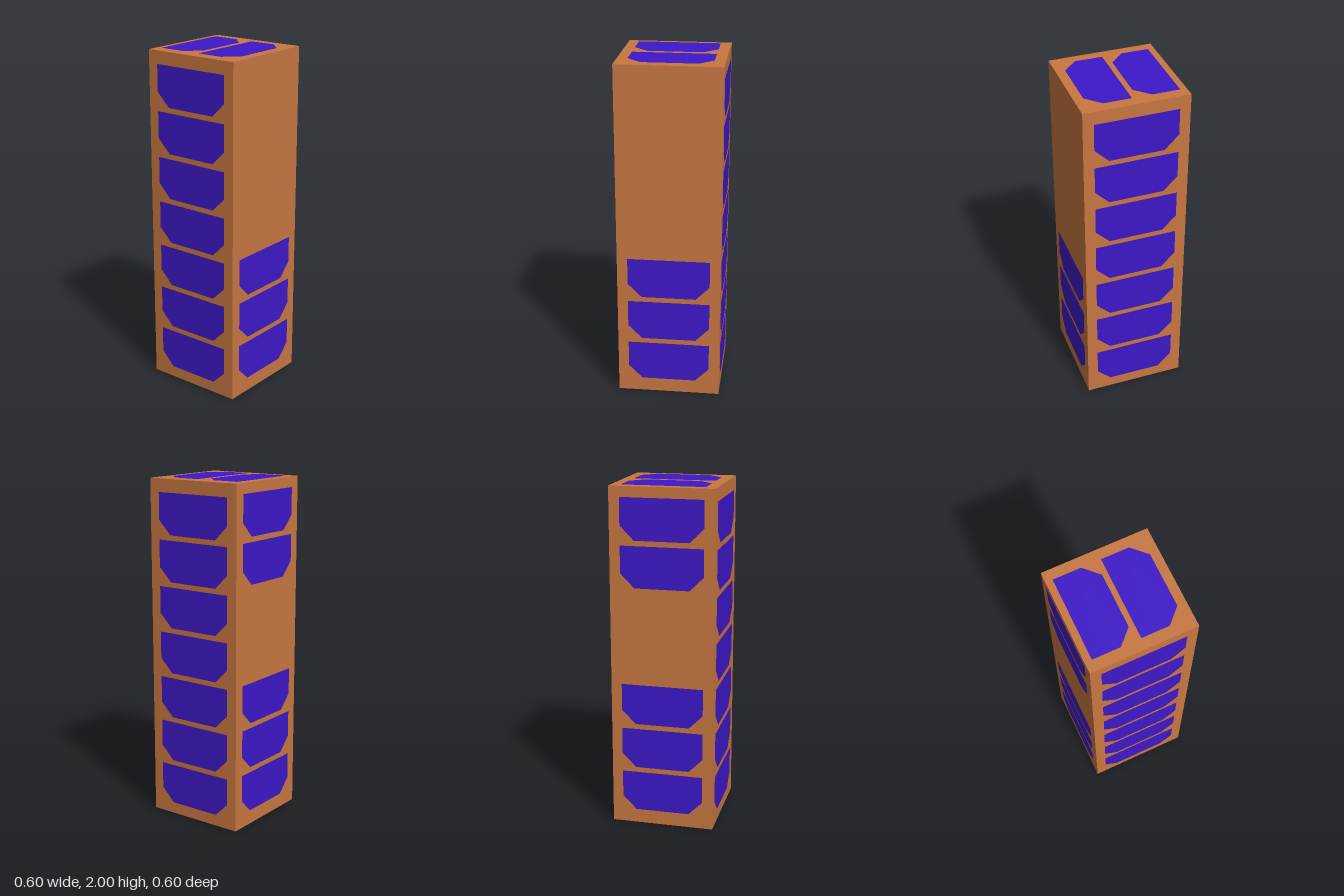
import * as THREE from 'three';

const WIDTH = 0.598, BOTTOM = 0.008, TOP = 1.997;
const PITCH = 0.268;   // vertical spacing of the window rows
const FACE = 0.3;      // distance of the side windows from the axis

export function createModel() {
  const model = new THREE.Group();
  model.name = 'tower';
  const wallMaterial = new THREE.MeshStandardMaterial({ color: 0xc87741 });
  const windowMaterial = new THREE.MeshStandardMaterial({ color: 0x3e18c8, side: THREE.DoubleSide });

  // Plain square tower block
  const block = new THREE.Mesh(new THREE.BoxGeometry(WIDTH, TOP - BOTTOM, WIDTH), wallMaterial);
  block.name = 'block';
  block.position.y = (TOP + BOTTOM) / 2;
  model.add(block);

  // Flat window with its two lower corners cut off; origin at the middle of the lower edge
  const outline = [[-0.157, 0], [0.157, 0], [0.238, 0.081], [0.238, 0.238], [-0.238, 0.238], [-0.238, 0.081]];
  const pane = new THREE.ShapeGeometry(new THREE.Shape(outline.map(([x, y]) => new THREE.Vector2(x, y))));

  // One face of the tower: windows at the given heights, then the face is turned into place
  function addFace(name, heights, distance) {
    const face = new THREE.Group();
    face.name = name;
    heights.forEach((y, i) => {
      const mesh = new THREE.Mesh(pane, windowMaterial);
      mesh.name = `${name}${i + 1}`;
      mesh.position.set(0, y, distance);
      face.add(mesh);
    });
    model.add(face);
    return face;
  }
  const rows = (start, slots) => slots.map((i) => start + i * PITCH);

  // Walls: full columns on both sides, gaps on the front and back
  addFace('frontWindow', rows(0.091, [0, 1, 2]), FACE);
  addFace('backWindow', rows(0.091, [0, 1, 2, 5, 6]), FACE).rotation.y = Math.PI;
  addFace('leftWindow', rows(0.075, [0, 1, 2, 3, 4, 5, 6]), FACE).rotation.y = Math.PI / 2;
  addFace('rightWindow', rows(0.075, [0, 1, 2, 3, 4, 5, 6]), FACE).rotation.y = -Math.PI / 2;

  // Roof and underside: two panes each
  addFace('roofWindow', [-0.247, 0.022], 2).rotation.x = -Math.PI / 2;
  addFace('baseWindow', [-0.247, 0.022], 0).rotation.x = Math.PI / 2;

  return model;
}
